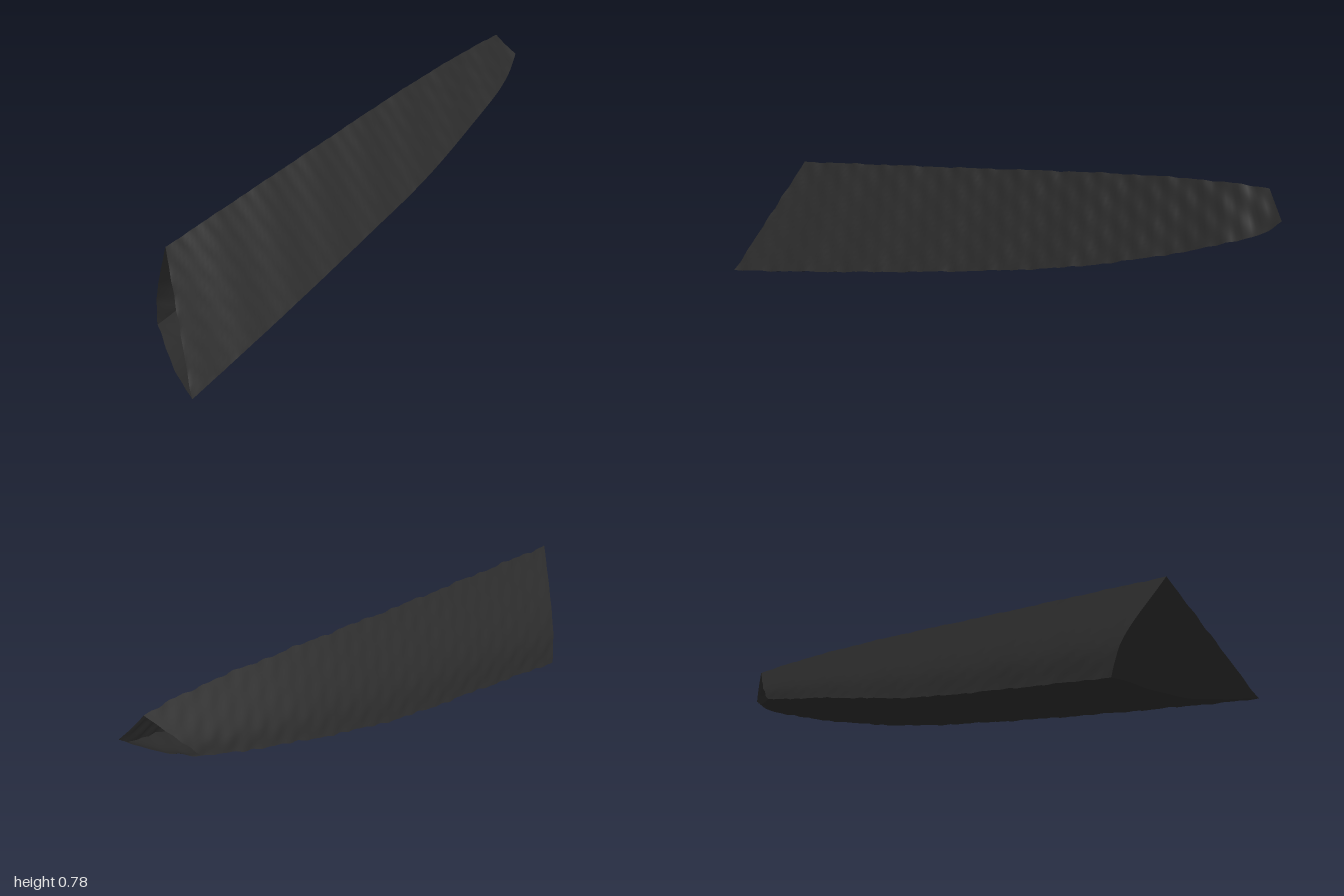
import * as THREE from 'three';

const rail = (pts) => new THREE.CatmullRomCurve3(pts.map((p) => new THREE.Vector3(...p)));

// The three long edges of the hollow, three-sided shell, from wide end to tip
const ridge = rail([[-0.85, 0.525, 0.62], [-0.22, 0.635, 0], [0.28, 0.725, -0.48], [0.6, 0.77, -0.78], [0.8, 0.78, -0.98]]);
const frontEdge = rail([[-0.78, 0.04, 0.985], [-0.4, 0.13, 0.55], [0, 0.235, 0.09], [0.35, 0.345, -0.3],
  [0.62, 0.465, -0.62], [0.8, 0.565, -0.83], [0.87, 0.62, -0.94], [0.9, 0.67, -0.995]]);
const backEdge = rail([[-0.9, 0.04, 0.37], [-0.57, 0.13, 0.06], [-0.16, 0.25, -0.33], [0.24, 0.41, -0.68], [0.59, 0.545, -0.94]]);

// Smooth repeatable roughness, the same for points shared by two faces
function roughen(p) {
  const { x, y, z } = p;
  const a = Math.sin(23 * x + 31 * y - 17 * z) * Math.sin(37 * y + 11 * x);
  const b = Math.sin(61 * x - 47 * z + 29 * y);
  const n = 0.0035 * a + 0.0018 * b;
  return p.add(new THREE.Vector3(n * 0.5, n, n * 0.6));
}

// Corner points of one cross-section, u from 0 (wide end) to 1 (tip)
function section(u) {
  const a = ridge.getPointAt(u), b = frontEdge.getPointAt(u), c = backEdge.getPointAt(u);
  const belly = b.clone().lerp(c, 0.5);
  belly.y -= 0.04 * (1 - 0.6 * u);
  const bulge = c.clone().lerp(a, 0.3).addScaledVector(new THREE.Vector3(-0.012, 0.01, -0.03), 1 - 0.7 * u);
  return { front: [a, b], underside: [b, belly, c], back: [c, bulge, a] };
}

// One long face, swept through the cross-sections
function sweptFace(side, material) {
  const nu = 120, nv = 24, pos = [], index = [];
  for (let i = 0; i <= nu; i++) {
    const across = new THREE.CatmullRomCurve3(section(i / nu)[side]);
    for (let j = 0; j <= nv; j++) pos.push(...roughen(across.getPoint(j / nv)).toArray());
  }
  for (let i = 0; i < nu; i++) {
    for (let j = 0; j < nv; j++) {
      const k = i * (nv + 1) + j, m = k + nv + 1;
      index.push(k, k + 1, m, k + 1, m + 1, m);
    }
  }
  const geo = new THREE.BufferGeometry();
  geo.setAttribute('position', new THREE.Float32BufferAttribute(pos, 3));
  geo.setIndex(index);
  geo.computeVertexNormals();
  const mesh = new THREE.Mesh(geo, material);
  mesh.name = side + 'Face';
  return mesh;
}

export function createModel() {
  const group = new THREE.Group();
  group.name = 'hollowWedge';
  const charcoal = new THREE.MeshStandardMaterial({ color: 0x2b2b2b, side: THREE.DoubleSide });
  charcoal.name = 'charcoal';
  // Both ends stay open
  for (const side of ['front', 'underside', 'back']) group.add(sweptFace(side, charcoal));
  return group;
}
